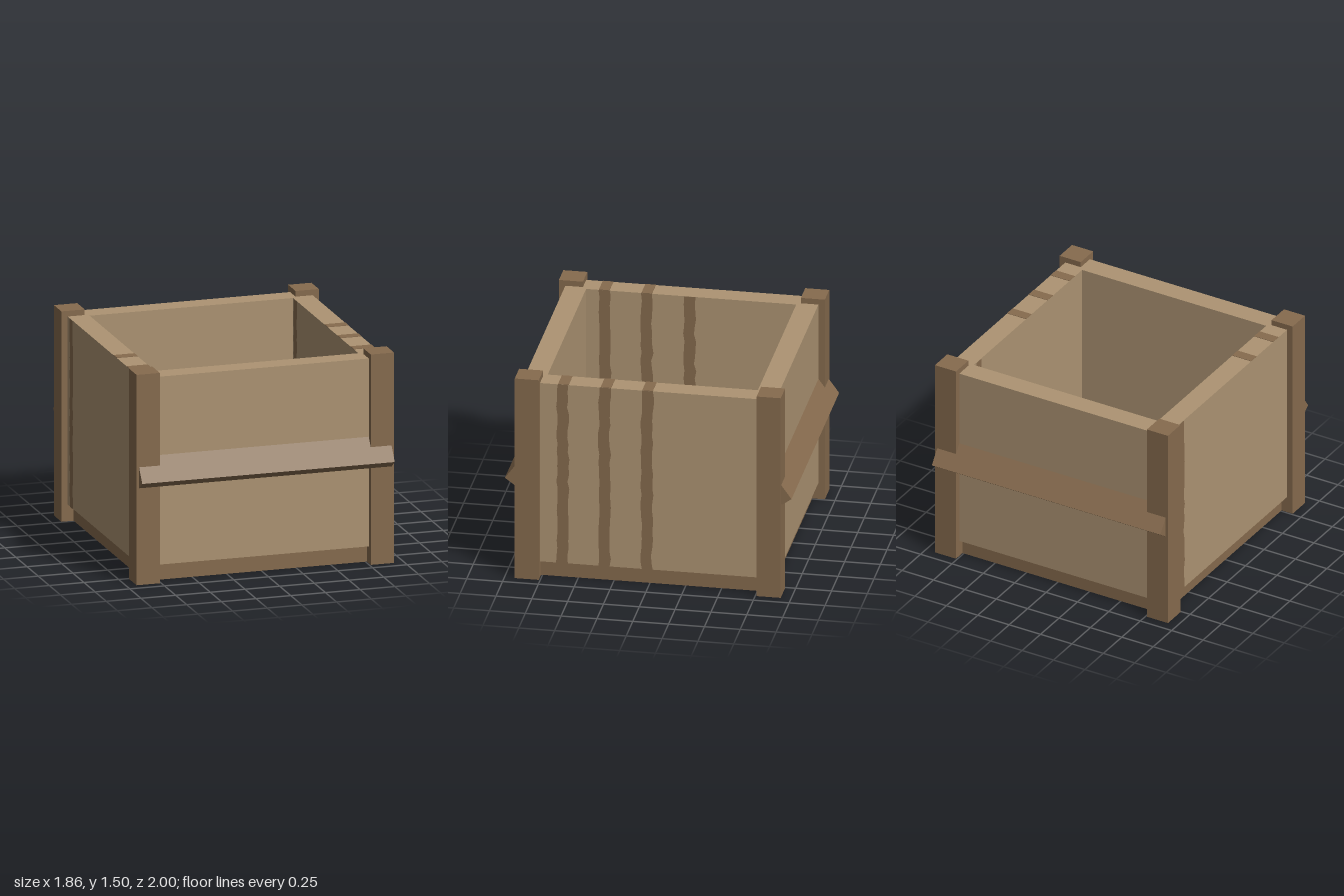
import * as THREE from 'three';

export function createModel() {
  const crate = new THREE.Group();
  crate.name = 'crate';
  const lightWood = new THREE.MeshStandardMaterial({ color: 0xad9473 });
  lightWood.name = 'light wood';
  const darkWood = new THREE.MeshStandardMaterial({ color: 0x866b4e });
  darkWood.name = 'dark wood';

  const add = (name, geometry, material, x, y, z) => {
    const mesh = new THREE.Mesh(geometry, material);
    mesh.name = name;
    mesh.position.set(x, y, z);
    crate.add(mesh);
    return mesh;
  };
  const box = (name, w, h, d, material, x, y, z) =>
    add(name, new THREE.BoxGeometry(w, h, d), material, x, y, z);

  let seed = 7;
  const random = () => (seed = (seed * 16807) % 2147483647) / 2147483647;

  const floorTop = 0.12, wallTop = 1.46, outer = 0.883, inner = 0.733;
  const wallMid = (outer + inner) / 2, wallThick = outer - inner;
  const wallHeight = wallTop - floorTop, wallY = (wallTop + floorTop) / 2;

  // Base slab, slightly inset under the walls
  box('base', 1.68, floorTop, 1.68, darkWood, 0, floorTop / 2, 0);

  for (const s of [-1, 1]) {
    // Walls
    box('sideWall', wallThick, wallHeight, outer * 2, lightWood, s * wallMid, wallY, 0);
    box(s > 0 ? 'frontWall' : 'backWall', inner * 2, wallHeight, wallThick, lightWood, 0, wallY, s * wallMid);

    // Corner posts
    for (const t of [-1, 1]) box('cornerPost', 0.168, 1.5, 0.168, darkWood, s * 0.844, 0.75, t * 0.844);

    // Tilted rail: a rectangular section whose lower outer edge sticks out furthest
    const length = 0.25, thick = 0.083, a = 0.945;
    const [ux, uy] = [-Math.cos(a), Math.sin(a)];
    const rail = new THREE.Shape([
      [1, 0.74],
      [1 + ux * length, 0.74 + uy * length],
      [1 + ux * length - uy * thick, 0.74 + uy * length + ux * thick],
      [1 - uy * thick, 0.74 + ux * thick],
    ].map(([z, y]) => new THREE.Vector2(z, y)));
    const railGeometry = new THREE.ExtrudeGeometry(rail, { depth: 1.82, bevelEnabled: false });
    railGeometry.translate(0, 0, -0.91);
    add(s > 0 ? 'frontRail' : 'backRail', railGeometry, darkWood, 0, 0, 0).rotation.y = -s * Math.PI / 2;
  }

  // Wavy grain stripe on a side wall face that looks towards s * x
  const grainStripe = (x, z, s, width) => {
    const left = [], right = [], steps = 24;
    for (let i = 0; i <= steps; i++) {
      const y = floorTop + (wallHeight * i) / steps;
      const drift = (random() - 0.5) * 0.012;
      left.push(new THREE.Vector2(-width / 2 + drift, y));
      right.push(new THREE.Vector2(width / 2 + drift + (random() - 0.5) * 0.01, y));
    }
    const shape = new THREE.Shape([...right, ...left.reverse()]);
    add('grainStripe', new THREE.ShapeGeometry(shape), darkWood, x + s * 0.003, 0, z).rotation.y = s * Math.PI / 2;
  };
  for (const x of [outer, -inner]) {
    for (const z of [0.602, 0.31, 0.013]) grainStripe(x, z, 1, 0.078);
  }
  for (const x of [-outer, inner]) grainStripe(x, -0.67, -1, 0.07);

  // Stripes across the wall tops
  for (const [s, z] of [[1, 0.597], [1, 0.3], [1, 0.01], [-1, 0.31], [-1, 0.607]]) {
    box('topStripe', wallThick, 0.004, 0.074, darkWood, s * wallMid, wallTop + 0.001, z);
  }

  // Small pale flecks on the floor: x, z, radius
  const flecks = [
    [-0.66, -0.72, 0.018], [-0.03, -0.72, 0.02], [0.16, -0.72, 0.02], [0.33, -0.72, 0.015],
    [0.62, -0.71, 0.018], [-0.56, -0.56, 0.022], [0.02, -0.46, 0.015], [-0.42, -0.17, 0.018],
    [0.53, -0.03, 0.01], [0.49, 0.15, 0.012], [0.68, 0.16, 0.022], [0.48, 0.3, 0.016],
    [0.04, 0.4, 0.017], [-0.68, 0.58, 0.01], [0.49, 0.67, 0.014], [-0.06, 0.72, 0.012],
  ];
  for (const [x, z, r] of flecks) {
    add('floorFleck', new THREE.CircleGeometry(r, 7), lightWood, x, floorTop + 0.003, z).rotation.x = -Math.PI / 2;
  }

  return crate;
}
